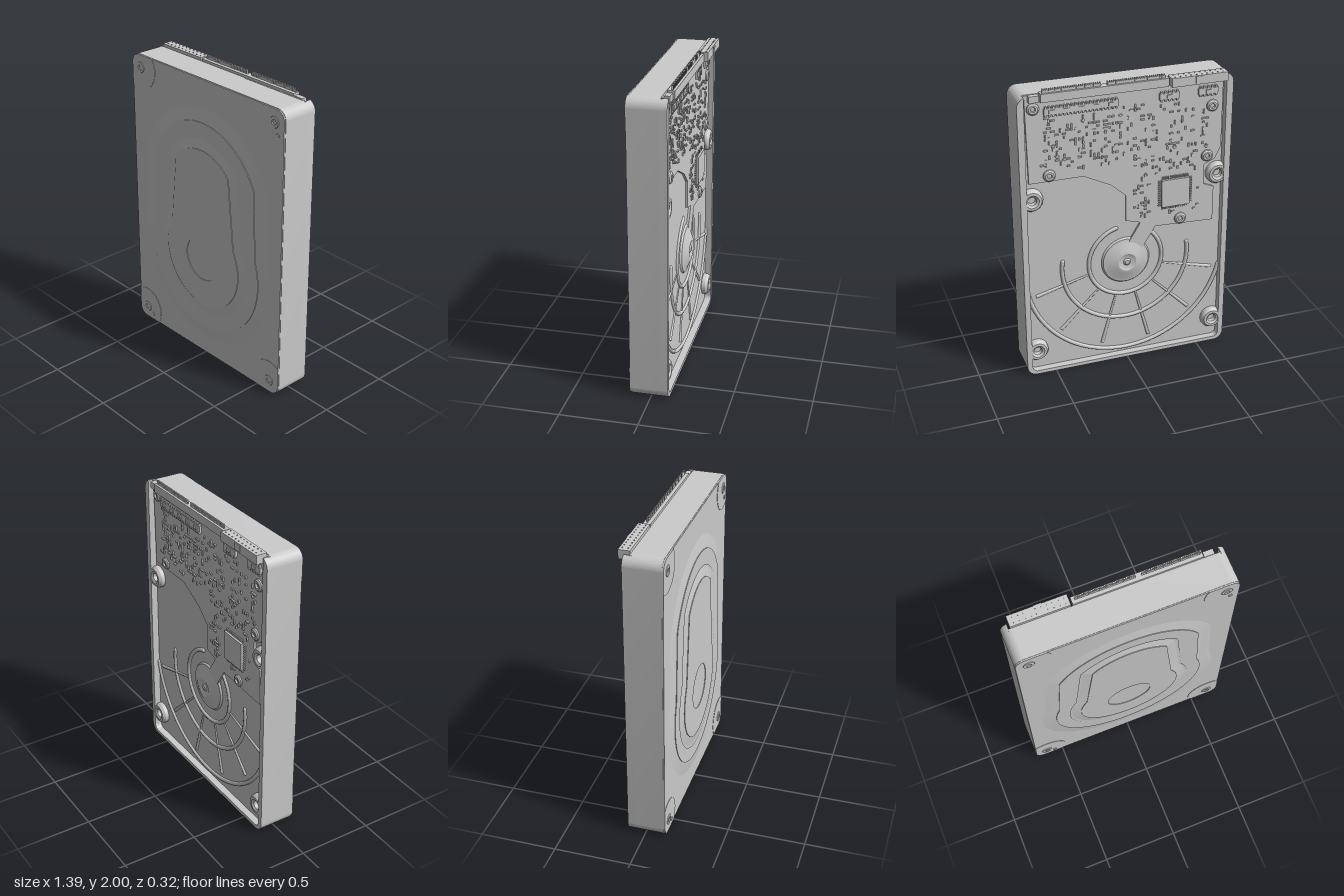
import * as THREE from 'three';
import { mergeGeometries, toCreasedNormals } from 'three/addons/utils/BufferGeometryUtils.js';

const HALF = 0.695, TOP = 1.96, HUB = 0.73, FLOOR = -0.068, BOARD = -0.083;

export function createModel() {
  const model = new THREE.Group();
  const grey = new THREE.MeshStandardMaterial({ color: 0xcccccc });

  const add = (name, geo, x = 0, y = 0, z = 0) => {
    const m = new THREE.Mesh(geo, grey);
    m.name = name;
    m.position.set(x, y, z);
    model.add(m);
    return m;
  };
  const box = (x, y, z, w, h, d) => new THREE.BoxGeometry(w, h, d).translate(x, y, z);
  const span = (x0, x1, y0, y1, z0, z1) =>
    box((x0 + x1) / 2, (y0 + y1) / 2, (z0 + z1) / 2, x1 - x0, y1 - y0, z1 - z0);
  // straight extrusion of a shape between two depths
  const slab = (shape, z0, z1) => toCreasedNormals(
    new THREE.ExtrudeGeometry(shape, { depth: z1 - z0, bevelEnabled: false, curveSegments: 20 }).translate(0, 0, z0), 0.5);
  // raised shape with one sloped edge; its rear half is buried
  const raised = (shape, slope, z0, z1) => toCreasedNormals(
    new THREE.ExtrudeGeometry(shape, {
      depth: 0.002, bevelSize: slope, bevelThickness: z1 - z0, bevelSegments: 1, curveSegments: 24,
    }).translate(0, 0, z0 - 0.002), 0.1);
  // turned part; profile heights point to the back (dir -1) or the front (dir 1)
  const turned = (pts, dir, seg = 28) => toCreasedNormals(
    new THREE.LatheGeometry(pts.map(p => new THREE.Vector2(p[0], p[1])), seg).rotateX(dir * Math.PI / 2), 0.5);
  const poly = pts => new THREE.Shape(pts.map(p => new THREE.Vector2(p[0], p[1])));

  const roundedRect = (hw, y0, y1, r) => {
    const s = new THREE.Shape();
    s.absarc(hw - r, y0 + r, r, -Math.PI / 2, 0);
    s.absarc(hw - r, y1 - r, r, 0, Math.PI / 2);
    s.absarc(-hw + r, y1 - r, r, Math.PI / 2, Math.PI);
    s.absarc(-hw + r, y0 + r, r, Math.PI, Math.PI * 1.5);
    s.closePath();
    return s;
  };

  // round bottom about the hub, tapering sides, shallow arch on top
  const keyhole = (r, joinY, cornerX, cornerY, topY) => {
    const a = Math.asin((joinY - HUB) / r), sag = topY - cornerY;
    const R = (cornerX ** 2 + sag ** 2) / (2 * sag), cy = topY - R;
    const b = Math.atan2(cornerY - cy, cornerX);
    const s = new THREE.Shape();
    s.absarc(0, HUB, r, a, -Math.PI - a, true);
    s.lineTo(-cornerX, cornerY);
    s.absarc(0, cy, R, Math.PI - b, b, true);
    s.closePath();
    return s;
  };

  // casing, lid and open-topped rear rim
  add('casing', slab(roundedRect(HALF, 0, TOP, 0.065), FLOOR, 0.124));
  add('lid', slab(roundedRect(HALF - 0.003, 0.003, TOP - 0.003, 0.062), 0.124, 0.131));
  const rim = new THREE.Shape(), r = 0.065;
  rim.moveTo(-0.655, TOP);
  rim.absarc(-HALF + r, TOP - r, r, Math.PI * 0.6, Math.PI);
  rim.absarc(-HALF + r, r, r, Math.PI, Math.PI * 1.5);
  rim.absarc(HALF - r, r, r, -Math.PI / 2, 0);
  rim.absarc(HALF - r, TOP - r, r, 0, Math.PI * 0.4);
  rim.lineTo(0.655, TOP);
  rim.absarc(0.625, 0.06, 0.035, 0, -Math.PI / 2, true);
  rim.absarc(-0.625, 0.06, 0.035, -Math.PI / 2, -Math.PI, true);
  rim.closePath();
  add('rearRim', slab(rim, -0.115, FLOOR));
  add('topLedge', span(-0.655, 0.655, 1.925, 1.957, -0.08, FLOOR));

  // stepped lid pressing with a narrow groove round the centre panel
  add('lidPressing', raised(keyhole(0.51, 0.9, 0.46, 1.38, 1.68), 0.09, 0.131, 0.143));
  const collar = keyhole(0.51, 0.9, 0.46, 1.38, 1.68);
  collar.holes.push(keyhole(0.415, 0.93, 0.318, 1.42, 1.572));
  add('lidCollar', slab(collar, 0.143, 0.147));
  add('centrePanel', raised(keyhole(0.34, 0.9, 0.245, 1.385, 1.5), 0.06, 0.143, 0.154));
  const cap = keyhole(0.34, 0.9, 0.245, 1.385, 1.5);
  cap.holes.push(new THREE.Path().absarc(0, HUB, 0.15, 0, Math.PI * 2));
  add('centrePanelCap', slab(cap, 0.154, 0.158));

  // corner pads trimmed to the lid outline, each with a screw
  const inLid = (x, y) => {
    const c = 0.062, hx = HALF - 0.003 - c, hy = TOP / 2 - 0.003 - c;
    const px = THREE.MathUtils.clamp(x, -hx, hx), py = THREE.MathUtils.clamp(y - TOP / 2, -hy, hy);
    const dx = x - px, dy = y - TOP / 2 - py, k = Math.min(1, c / (Math.hypot(dx, dy) || 1));
    return [px + dx * k, TOP / 2 + py + dy * k];
  };
  const lidScrew = [[0.036, 0], [0.034, 0.004], [0.026, 0.006], [0.018, 0.006], [0.014, 0.001], [0, 0.001]];
  for (const sx of [-1, 1]) for (const y of [0.087, 1.873]) {
    const pts = [];
    for (let i = 0; i < 48; i++) {
      const a = i / 48 * Math.PI * 2;
      pts.push(inLid(sx * 0.612 + 0.143 * Math.cos(a), y + 0.143 * Math.sin(a)));
    }
    add('cornerPad', slab(poly(pts), 0.13, 0.1335));
    add('lidScrew', turned(lidScrew, 1), sx * 0.612, y, 0.1335);
  }
  for (const [x, y] of [[0.64, 1.797], [-0.555, 0.047]])
    add('lidPin', turned([[0.014, 0], [0.012, 0.004], [0, 0.004]], 1, 14), x, y, 0.1335);

  // motor hub on the rear floor
  add('motorHub', turned([[0.165, 0], [0.155, 0.012], [0.135, 0.014], [0.08, 0.04], [0.06, 0.043],
    [0.045, 0.036], [0.025, 0.034], [0.015, 0.042], [0, 0.042]], -1, 40), 0, HUB, FLOOR);
  const tab = add('motorTab', new THREE.BoxGeometry(0.11, 0.22, 0.014), -0.1, 0.89, FLOOR - 0.008);
  tab.rotation.z = 0.55;

  // curved and radial stiffening ribs
  const rib = (radius, from, to, tube) => {
    const a = THREE.MathUtils.degToRad(from), arc = THREE.MathUtils.degToRad(to - from);
    add('curvedRib', new THREE.TorusGeometry(radius, tube, 8, 56, arc).rotateZ(a), 0, HUB, FLOOR);
    for (const e of [a, a + arc])
      add('ribEnd', new THREE.SphereGeometry(tube, 10, 8), radius * Math.cos(e), HUB + radius * Math.sin(e), FLOOR);
  };
  rib(0.25, -240, 75, 0.014);
  rib(0.43, -188, 8, 0.014);
  rib(0.675, -167, -13, 0.014);
  for (let i = 0; i < 6; i++) {
    const a = -THREE.MathUtils.degToRad(15 + 30 * i);
    const g = new THREE.CylinderGeometry(0.012, 0.006, 0.38, 8).rotateZ(-Math.PI / 2).translate(0.44, 0, 0);
    add('radialRib', g.rotateZ(a), 0, HUB, FLOOR);
  }

  // mounting lugs along both sides
  for (const sx of [-1, 1]) for (const y of [0.17, 1.27])
    add('mountingLug', turned([[0.075, 0], [0.073, 0.025], [0.06, 0.043], [0.043, 0.044], [0.028, 0.034],
      [0.024, 0.008], [0, 0.008]], -1), sx * 0.618, y, FLOOR);

  // circuit board
  add('circuitBoard', slab(poly([[0.64, 1.93], [0.63, 1.38], [0.28, 1.38], [0.1, 1.29], [0, 1.2], [0, 1.02],
    [-0.08, 1.0], [-0.16, 0.95], [-0.6, 0.93], [-0.6, 1.17], [-0.53, 1.2], [-0.53, 1.34], [-0.6, 1.37],
    [-0.64, 1.45], [-0.64, 1.93]]), BOARD, FLOOR));
  const boardScrew = [[0.04, 0], [0.038, 0.008], [0.028, 0.016], [0.016, 0.016], [0.013, 0.006], [0, 0.006]];
  const screws = [[0.59, 1.87], [0.5, 1.42], [-0.57, 1.74], [-0.545, 1.4], [-0.37, 0.98]];
  for (const [x, y] of screws) add('boardScrew', turned(boardScrew, -1, 20), x, y, BOARD);

  // main chip with legs on four sides
  const chip = [box(0, 0, -0.012, 0.19, 0.19, 0.018)];
  for (let i = 0; i < 14; i++) for (const s of [-1, 1]) {
    const t = -0.085 + i * 0.0131;
    chip.push(box(t, s * 0.104, -0.004, 0.006, 0.022, 0.008), box(s * 0.104, t, -0.004, 0.022, 0.006, 0.008));
  }
  add('mainChip', mergeGeometries(chip), -0.33, 1.18, BOARD);

  // solder blocks beneath the connectors
  for (const [x, w] of [[0.29, 0.47], [-0.277, 0.13], [-0.535, 0.13]]) {
    const parts = [box(0, 0, -0.008, w, 0.04, 0.016)];
    const n = Math.round(w / 0.024);
    for (let i = 0; i < n; i++) for (const s of [-1, 1])
      parts.push(box((i + 0.5) / n * w - w / 2, s * 0.026, -0.008, 0.012, 0.014, 0.02));
    for (let i = 0; i < Math.round(w / 0.1); i++)
      parts.push(box((i + 0.5) / Math.round(w / 0.1) * w - w / 2, 0, -0.018, 0.035, 0.022, 0.008));
    add('solderBlock', mergeGeometries(parts), x, 1.845, BOARD);
  }

  // small components scattered on a grid
  let seed = 7;
  const rand = () => (seed = (seed * 16807) % 2147483647) / 2147483647;
  const bits = [];
  while (bits.length < 260) {
    const x = -0.56 + Math.round(rand() * 46) * 0.024, y = 0.99 + Math.round(rand() * 34) * 0.024;
    const onBoard = y > 1.43 || (x < -0.04 && x > -0.5 && y > 1.02);
    const nearChip = Math.abs(x + 0.33) < 0.14 && Math.abs(y - 1.18) < 0.14;
    if (!onBoard || nearChip || screws.some(s => Math.hypot(x - s[0], y - s[1]) < 0.06)) continue;
    const long = 0.014 + rand() * 0.014, turn = rand() < 0.5;
    bits.push(box(x, y, BOARD - 0.004, turn ? long : 0.01, turn ? 0.01 : long, 0.006 + rand() * 0.008));
  }
  add('smallComponents', mergeGeometries(bits));

  // power connector with pin rows on top
  add('powerConnector', span(-0.64, -0.27, 1.92, 1.978, -0.153, -0.08));
  add('powerConnectorKey', span(-0.475, -0.425, 1.93, 1.975, -0.158, -0.15));
  const dots = [];
  for (let i = 0; i < 10; i++) for (const z of [-0.135, -0.1]) dots.push(box(-0.61 + i * 0.035, 1.979, z, 0.006, 0.006, 0.006));
  add('powerPins', mergeGeometries(dots));

  // edge connector with two contact tongues
  add('edgeConnector', span(-0.26, 0.55, 1.92, 1.974, -0.128, -0.08));
  add('edgeClip', span(0.555, 0.62, 1.92, 1.962, -0.115, -0.08));
  for (const [x0, x1] of [[-0.24, 0.135], [0.17, 0.54]]) {
    add('contactTongue', span(x0, x1, 1.97, 1.99, -0.112, -0.104));
    const pins = [], n = 28;
    for (let i = 0; i < n; i++)
      pins.push(box(x0 + (i + 0.5) / n * (x1 - x0), 1.985, -0.108, 0.007, 0.03, 0.011));
    add('contacts', mergeGeometries(pins));
  }
  return model;
}
